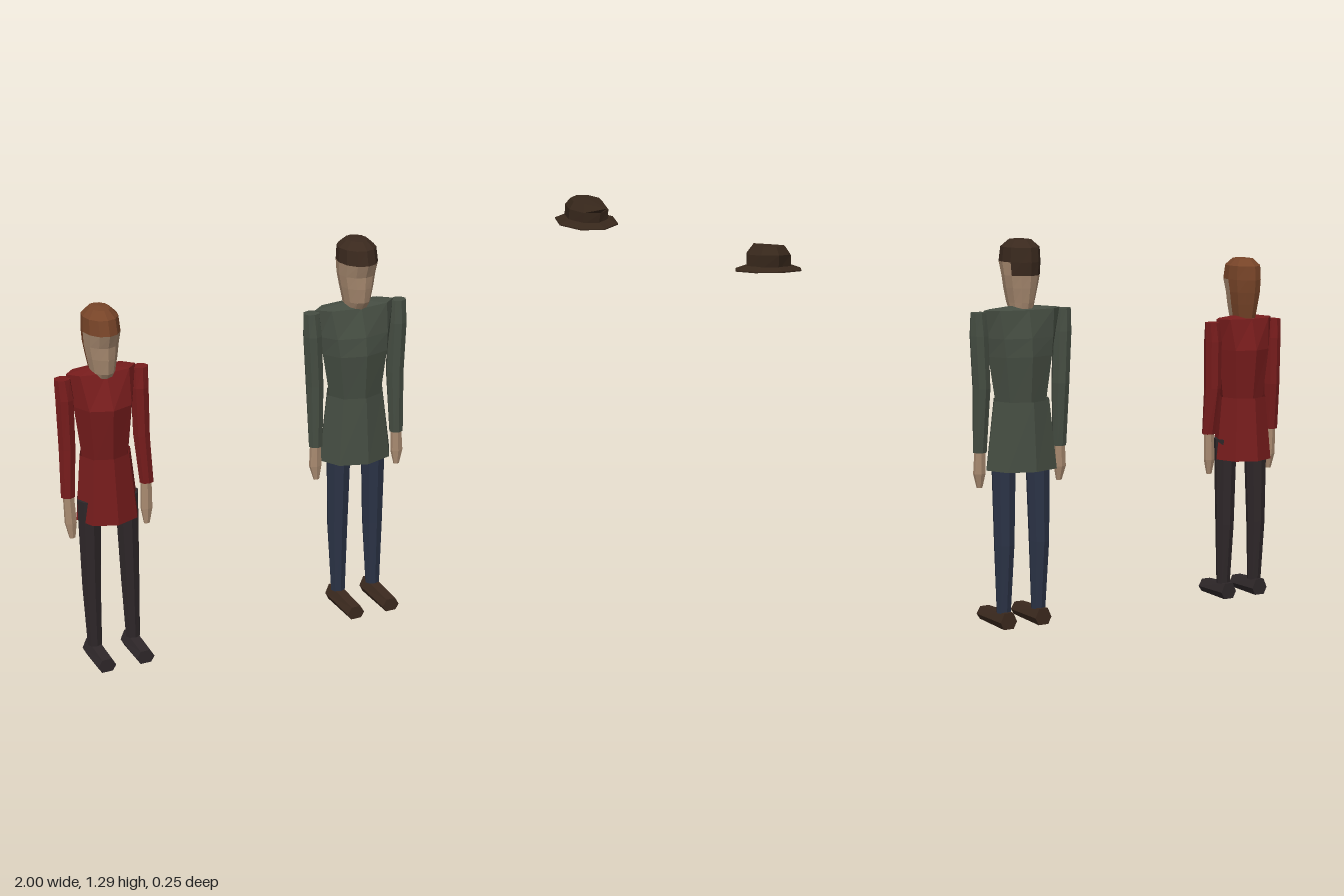
import * as THREE from 'three';

const mat = (name, color, double = false) => {
  const m = new THREE.MeshStandardMaterial({ color, flatShading: true });
  m.name = name;
  if (double) m.side = THREE.DoubleSide;
  return m;
};

// Each ring is [y, half width, front z, back z, optional centre x], listed bottom to top.
// slot(ring, side) picks the material index; reshape(ring, side, point) may move a corner.
function loft(name, material, rings, { sides = 8, caps = true, capRise = 0, slot = () => 0, reshape } = {}) {
  const point = (i, j) => {
    const [y, rx, zf, zb, cx = 0] = rings[i];
    const a = ((j % sides) / sides) * Math.PI * 2;
    const p = [cx + Math.sin(a) * rx, y, (zf + zb) / 2 + Math.cos(a) * (zf - zb) / 2];
    if (reshape) reshape(i, j % sides, p);
    return p;
  };
  const centre = (i, rise) => {
    const [y, , zf, zb, cx = 0] = rings[i];
    return [cx, y + rise, (zf + zb) / 2];
  };
  const geo = new THREE.BufferGeometry();
  const pos = [];
  const face = (index, ...pts) => {
    geo.addGroup(pos.length / 3, pts.length, index);
    pts.forEach(p => pos.push(...p));
  };
  const top = rings.length - 1;
  for (let j = 0; j < sides; j++) {
    for (let i = 0; i < top; i++) {
      const a = point(i, j), b = point(i, j + 1), c = point(i + 1, j + 1), d = point(i + 1, j);
      face(slot(i, j), a, b, c, a, c, d);
    }
    if (caps) {
      face(slot(0, j), centre(0, 0), point(0, j + 1), point(0, j));
      face(slot(top - 1, j), centre(top, capRise), point(top, j), point(top, j + 1));
    }
  }
  geo.setAttribute('position', new THREE.Float32BufferAttribute(pos, 3));
  geo.computeVertexNormals();
  if (!Array.isArray(material)) geo.clearGroups();
  const mesh = new THREE.Mesh(geo, material);
  mesh.name = name;
  return mesh;
}

// Long shoe with a six-sided section, lower at the toe
function shoe(name, material, x, toe, heel) {
  const s = new THREE.Shape([[-0.018, 0], [0.018, 0], [0.03, 0.024], [0.016, 0.055], [-0.016, 0.055], [-0.03, 0.024]]
    .map(p => new THREE.Vector2(...p)));
  const geo = new THREE.ExtrudeGeometry(s, { depth: toe - heel, bevelEnabled: false });
  const p = geo.attributes.position;
  for (let i = 0; i < p.count; i++) if (p.getZ(i) > 0.01) p.setY(i, p.getY(i) * 0.78);
  geo.translate(x, 0, heel);
  geo.computeVertexNormals();
  const mesh = new THREE.Mesh(geo, material);
  mesh.name = name;
  return mesh;
}

function person(name, x, o) {
  const g = new THREE.Group();
  g.name = name;
  g.position.x = x;
  g.add(loft('coatTop', o.coat, o.torso, { capRise: 0.015 }));
  g.add(loft('coatSkirt', o.coat, o.skirt, { caps: false }));

  // Head with hair over the crown and down the back
  const n = o.neck;
  g.add(loft('head', [o.skin, o.hair], [
    [n - 0.02, 0.036, 0.03, -0.055], [n + 0.012, 0.042, 0.052, -0.064], [n + 0.06, 0.052, 0.06, -0.073],
    [n + 0.1, 0.059, 0.063, -0.079], [n + 0.143, 0.063, 0.081, -0.083], [n + 0.19, 0.06, 0.07, -0.078],
    [n + 0.213, 0.034, 0.04, -0.048]
  ].map(([y, w, f, b]) => [y, w * o.headWidth, f, b]), {
    sides: 12, capRise: 0.004,
    slot: (i, j) => (i >= 4 || (i >= o.hairRing && j >= o.hairFrom && j < 12 - o.hairFrom) ? 1 : 0)
  }));

  // Limbs, mirrored left and right
  for (const [side, s] of [['left', 1], ['right', -1]]) {
    const place = rings => rings.map(([y, w, f, b, cx]) => [y, w, f, b, cx * s]);
    g.add(loft(side + 'Sleeve', o.coat, place(o.sleeve), { sides: 8 }));
    g.add(loft(side + 'Hand', o.skin, place(o.hand), { sides: 6 }));
    g.add(loft(side + 'Leg', o.trousers, place(o.leg), { sides: 8 }));
    g.add(shoe(side + 'Shoe', o.shoes, s * 0.065, o.toe, -0.047));
  }
  return g;
}

function hat(x, material) {
  const g = new THREE.Group();
  g.name = 'hat';
  g.position.x = x;
  g.add(loft('hatBrim', material, [[1.21, 0.105, 0.1, -0.123], [1.214, 0.105, 0.1, -0.123], [1.226, 0.07, 0.063, -0.092]]));
  // Crown with its front top corner drawn out to a point
  g.add(loft('hatCrown', material, [
    [1.216, 0.07, 0.063, -0.093], [1.26, 0.067, 0.07, -0.1], [1.284, 0.05, 0.045, -0.08]
  ], { capRise: 0.005, reshape: (i, j, p) => { if (i === 2 && j === 0) p[2] = 0.105; } }));
  return g;
}

export function createModel() {
  const skin = mat('skin', 0xa88a70);
  const charcoal = mat('charcoal cloth', 0x2e2729);
  const model = new THREE.Group();
  model.name = 'twoFiguresAndHat';

  model.add(person('tallFigure', 0.021, {
    skin, coat: mat('green coat', 0x454d42, true), trousers: mat('navy cloth', 0x2b3346),
    shoes: mat('brown leather', 0x3b291e), hair: mat('dark hair', 0x3a291e),
    neck: 1.06, headWidth: 1, hairRing: 3, hairFrom: 4, toe: 0.125,
    torso: [[0.74, 0.092, 0.06, -0.08], [0.9, 0.118, 0.074, -0.091], [0.96, 0.127, 0.066, -0.087], [1.05, 0.14, 0.034, -0.068]],
    skirt: [[0.53, 0.129, 0.086, -0.117], [0.755, 0.1, 0.07, -0.098]],
    sleeve: [[0.59, 0.024, 0.018, -0.026, 0.148], [0.8, 0.029, 0.02, -0.046, 0.146],
      [0.97, 0.031, 0.022, -0.044, 0.153], [1.045, 0.027, 0.012, -0.036, 0.156]],
    hand: [[0.473, 0.01, 0.006, -0.008, 0.148], [0.52, 0.022, 0.01, -0.018, 0.15], [0.605, 0.019, 0.008, -0.018, 0.148]],
    leg: [[0.05, 0.025, 0.012, -0.034, 0.065], [0.28, 0.034, 0.022, -0.052, 0.065], [0.6, 0.042, 0.037, -0.05, 0.063]]
  }));

  model.add(person('shortFigure', -0.847, {
    skin, coat: mat('red coat', 0x761c1c, true), trousers: charcoal, shoes: charcoal,
    hair: mat('auburn hair', 0x774428),
    neck: 0.965, headWidth: 0.9, hairRing: 1, hairFrom: 3, toe: 0.097,
    torso: [[0.69, 0.075, 0.058, -0.078], [0.87, 0.096, 0.084, -0.096], [0.975, 0.112, 0.034, -0.066]],
    skirt: [[0.49, 0.103, 0.082, -0.115], [0.705, 0.083, 0.066, -0.092]],
    sleeve: [[0.58, 0.023, 0.018, -0.026, 0.13], [0.74, 0.027, 0.02, -0.044, 0.122],
      [0.9, 0.029, 0.022, -0.044, 0.122], [0.965, 0.026, 0.012, -0.036, 0.126]],
    hand: [[0.44, 0.01, 0.006, -0.008, 0.124], [0.49, 0.02, 0.01, -0.018, 0.126], [0.6, 0.018, 0.008, -0.018, 0.129]],
    leg: [[0.05, 0.024, 0.012, -0.034, 0.065], [0.26, 0.031, 0.02, -0.048, 0.065], [0.56, 0.039, 0.035, -0.048, 0.062]]
  }));

  model.add(hat(0.89, mat('hat felt', 0x37271b)));
  return model;
}
